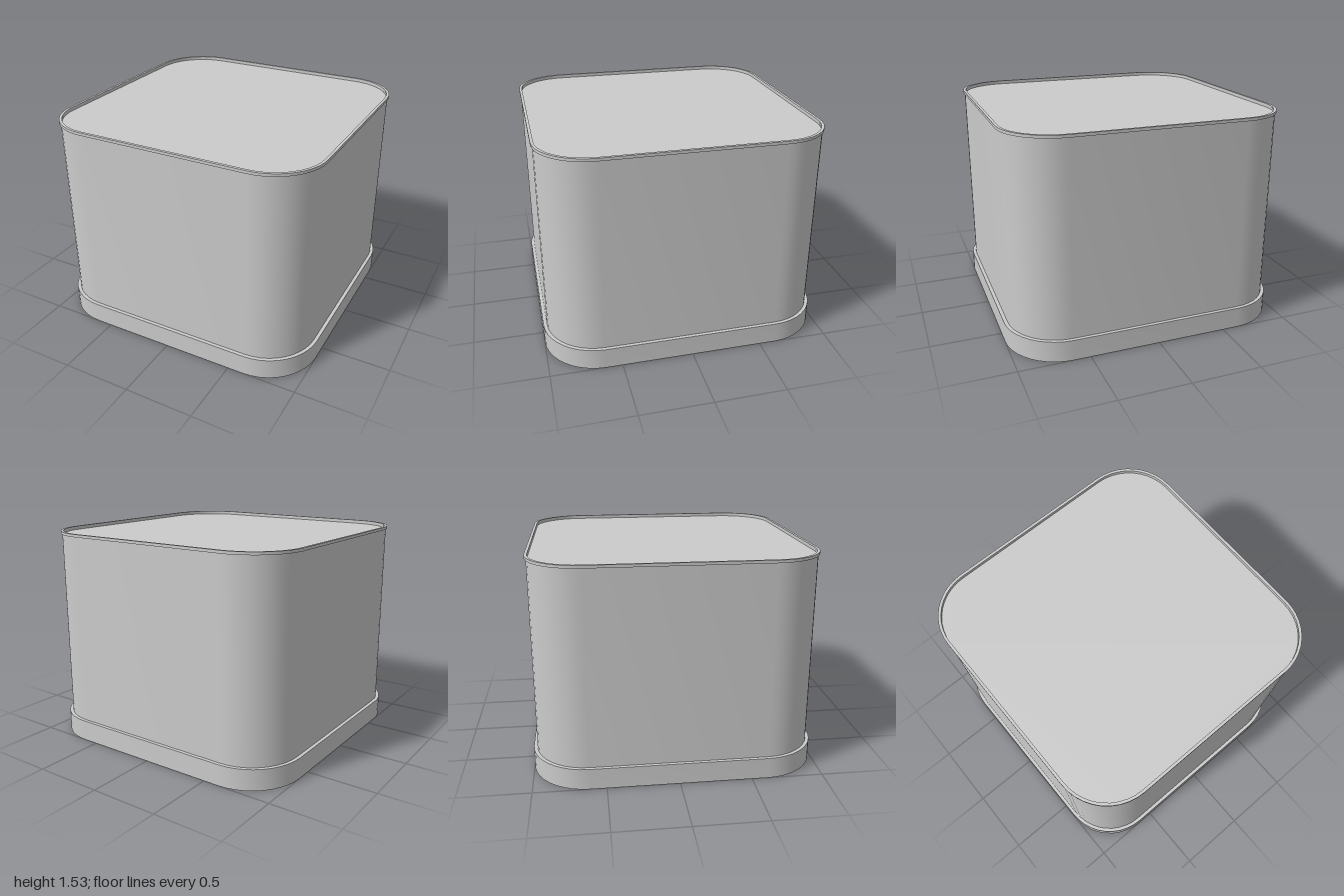
import * as THREE from 'three';
import { toCreasedNormals } from 'three/addons/utils/BufferGeometryUtils.js';

const material = new THREE.MeshStandardMaterial({ color: 0xcccccc });
const CORNER = 0.385; // corner radius at half-width 1

// Rounded square outline of the given half-width, corners concentric for all sizes
function outline(half, Type = THREE.Shape) {
  const s = new Type();
  const r = CORNER - (1 - half);
  const c = half - r;
  s.moveTo(half, -c);
  s.lineTo(half, c);
  s.absarc(c, c, r, 0, Math.PI / 2);
  s.absarc(-c, c, r, Math.PI / 2, Math.PI);
  s.absarc(-c, -c, r, Math.PI, Math.PI * 1.5);
  s.absarc(c, -c, r, Math.PI * 1.5, Math.PI * 2);
  return s;
}

// Upright slab from y0 to y1, hollow when an inner half-width is given
function slab(name, half, y0, y1, inner) {
  const shape = outline(half);
  if (inner) shape.holes.push(outline(inner, THREE.Path));
  let geo = new THREE.ExtrudeGeometry(shape, { depth: y1 - y0, bevelEnabled: false, curveSegments: 5 });
  geo.rotateX(-Math.PI / 2).translate(0, y0, 0);
  geo = toCreasedNormals(geo, Math.PI / 6);
  const mesh = new THREE.Mesh(geo, material);
  mesh.name = name;
  return mesh;
}

export function createModel() {
  const group = new THREE.Group();
  group.name = 'tin';
  group.add(
    slab('baseBand', 1, 0, 0.15, 0.965),        // wide band around the foot
    slab('bottomPanel', 0.965, 0.025, 0.05),    // recessed underside
    slab('bodyWall', 0.975, 0.03, 1.52, 0.965), // tall side wall
    slab('topPanel', 0.965, 1.48, 1.51),        // recessed top
    slab('topRim', 0.985, 1.515, 1.535, 0.965)  // rolled lip
  );
  return group;
}
